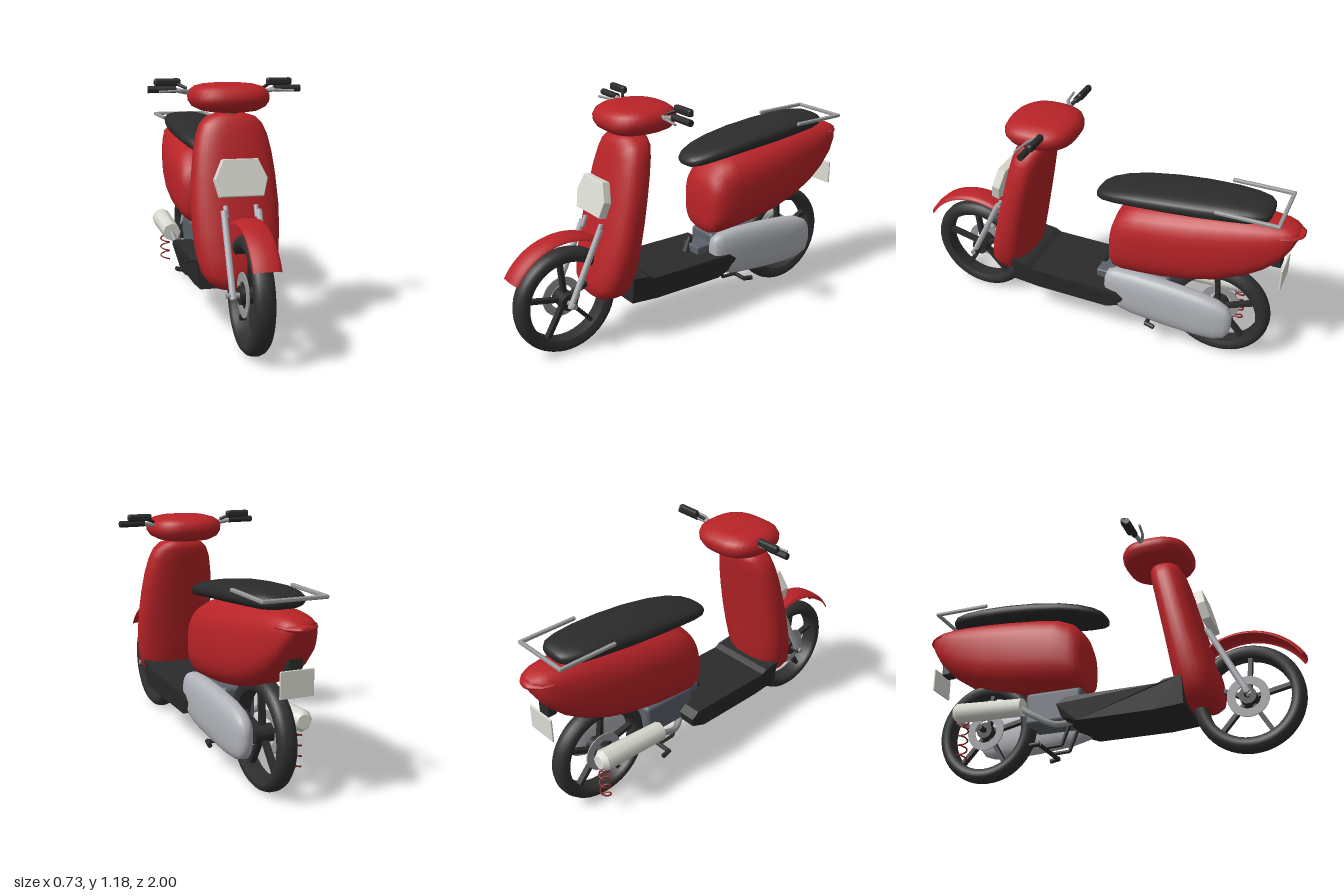
import * as THREE from 'three';
import { RoundedBoxGeometry } from 'three/addons/geometries/RoundedBoxGeometry.js';

const mat = (name, color) => new THREE.MeshStandardMaterial({ name, color, side: THREE.DoubleSide });
const V = (a) => new THREE.Vector3(...a);

// Smooth closed skin through superellipse rings; ring = { c: centre, u, v: half axes }
function loft(rings, power = 2.6, n = 32) {
  const pos = [], idx = [];
  const sp = (t) => Math.sign(t) * Math.abs(t) ** (2 / power);
  for (const { c, u, v } of rings)
    for (let i = 0; i < n; i++) {
      const a = (i / n) * Math.PI * 2, s = sp(Math.cos(a)), t = sp(Math.sin(a));
      pos.push(...c.map((k, j) => k + u[j] * s + v[j] * t));
    }
  for (let r = 0; r < rings.length - 1; r++)
    for (let i = 0; i < n; i++) {
      const a = r * n + i, b = r * n + (i + 1) % n;
      idx.push(a, b, a + n, b, b + n, a + n);
    }
  for (const r of [0, rings.length - 1]) {
    const k = pos.length / 3;
    pos.push(...rings[r].c);
    for (let i = 0; i < n; i++) {
      const a = r * n + i, b = r * n + (i + 1) % n;
      idx.push(...(r ? [k, a, b] : [k, b, a]));
    }
  }
  // turn the faces outward
  let vol = 0;
  const p = (i) => new THREE.Vector3(pos[i * 3], pos[i * 3 + 1], pos[i * 3 + 2]).sub(V(rings[0].c));
  for (let i = 0; i < idx.length; i += 3) vol += p(idx[i]).dot(p(idx[i + 1]).cross(p(idx[i + 2])));
  if (vol < 0) idx.reverse();
  const g = new THREE.BufferGeometry();
  g.setAttribute('position', new THREE.Float32BufferAttribute(pos, 3));
  g.setIndex(idx);
  g.computeVertexNormals();
  return g;
}
// rows [z, yLow, yHigh, halfWidth] along the length
const loftZ = (rows, power, x = 0) => loft(rows.map(([z, a, b, w]) =>
  ({ c: [x, (a + b) / 2, z], u: [w, 0, 0], v: [0, (b - a) / 2, 0] })), power);
// rows [y, zBack, zFront, halfWidth] going up
const loftY = (rows, power) => loft(rows.map(([y, a, b, w]) =>
  ({ c: [0, y, (a + b) / 2], u: [w, 0, 0], v: [0, 0, (b - a) / 2] })), power);

function rod(a, b, r, sides = 12, r2 = r) {
  const d = V(b).sub(V(a));
  const g = new THREE.CylinderGeometry(r2, r, d.length(), sides);
  g.applyQuaternion(new THREE.Quaternion().setFromUnitVectors(V([0, 1, 0]), d.clone().normalize()));
  const m = V(a).add(V(b)).multiplyScalar(0.5);
  return g.translate(m.x, m.y, m.z);
}
const box = (w, h, d, x, y, z, r = 0.008) => new RoundedBoxGeometry(w, h, d, 2, r).translate(x, y, z);
const lathe = (pts, seg = 48, ...arc) =>
  new THREE.LatheGeometry(pts.map((p) => new THREE.Vector2(...p)), seg, ...arc).rotateZ(Math.PI / 2);
const polygon = (pts) => new THREE.Shape(pts.map((p) => new THREE.Vector2(...p)));

export function createModel() {
  const root = new THREE.Group();
  root.name = 'scooter';
  const red = mat('red paint', 0xb82327), black = mat('black plastic', 0x2b2b2b), tyre = mat('tyre rubber', 0x303030),
    silver = mat('silver cover', 0xb0b2b8), steel = mat('steel', 0x98999b), white = mat('off white', 0xdcdcd4),
    engineGrey = mat('engine grey', 0x5b616b), springRed = mat('dark red spring', 0x8a2320);
  const add = (name, geo, material, parent = root) => {
    const m = new THREE.Mesh(geo, material);
    m.name = name;
    parent.add(m);
    return m;
  };

  // Wheels
  const half = [[0.2, 0.036], [0.222, 0.046], [0.242, 0.044], [0.257, 0.03], [0.264, 0.012]];
  const tyrePts = [...half.map(([r, x]) => [r, -x]), ...half.slice().reverse(), half[0].map((k, i) => (i ? -k : k))];
  for (const [name, z] of [['frontWheel', 0.72], ['rearWheel', -0.63]]) {
    const w = new THREE.Group();
    w.name = name;
    w.position.set(0, 0.268, z);
    root.add(w);
    add('tyre', lathe(tyrePts), tyre, w);
    add('hub', rod([-0.05, 0, 0], [0.05, 0, 0], 0.042, 24), black, w);
    add('axle', rod([-0.1, 0, 0], [0.1, 0, 0], 0.014), black, w);
    for (let i = 0; i < 5; i++)
      add('spoke', new THREE.BoxGeometry(0.03, 0.18, 0.02).translate(0, 0.115, 0)
        .rotateX(i * Math.PI * 0.4 + 0.1), black, w);
    const disc = new THREE.Shape().absarc(0, 0, 0.1, 0, Math.PI * 2);
    disc.holes.push(new THREE.Path().absarc(0, 0, 0.06, 0, Math.PI * 2));
    add('brakeDisc', new THREE.ExtrudeGeometry(disc, { depth: 0.006, bevelEnabled: false, curveSegments: 24 })
      .rotateY(Math.PI / 2).translate(-0.035, 0, 0), steel, w);
  }

  // Front fender and fork
  add('frontFender', lathe([[0.306, -0.062], [0.316, -0.058], [0.325, -0.042], [0.329, 0], [0.325, 0.042],
    [0.316, 0.058], [0.306, 0.062]], 32, 0.54, 1.75).translate(0, 0.272, 0.72), red);
  for (const s of [-1, 1]) {
    add('forkLeg', rod([s * 0.08, 0.255, 0.735], [s * 0.08, 0.61, 0.56], 0.015), silver);
    add('forkTop', rod([s * 0.07, 0.58, 0.57], [s * 0.07, 0.63, 0.548], 0.011), silver);
    add('forkFoot', rod([s * 0.05, 0.27, 0.725], [s * 0.11, 0.27, 0.725], 0.013), steel);
  }

  // Front shield, lamp panel and steering head
  add('frontShield', loftY([[0.24, 0.45, 0.55, 0.06], [0.25, 0.42, 0.58, 0.105], [0.275, 0.406, 0.6, 0.14],
    [0.32, 0.393, 0.606, 0.17], [0.4, 0.376, 0.593, 0.19], [0.5, 0.36, 0.568, 0.2], [0.62, 0.34, 0.536, 0.203],
    [0.75, 0.316, 0.503, 0.195], [0.85, 0.297, 0.479, 0.183], [0.93, 0.281, 0.457, 0.166], [0.98, 0.273, 0.441, 0.145],
    [1.01, 0.276, 0.425, 0.115], [1.025, 0.295, 0.4, 0.07]], 2.5), red);
  add('lampPanel', new THREE.ExtrudeGeometry(polygon([[-0.097, -0.08], [0.097, -0.08], [0.117, -0.005], [0.078, 0.08],
    [-0.078, 0.08], [-0.117, -0.005]]), { depth: 0.035, bevelSize: 0.004, bevelThickness: 0.004, bevelSegments: 2 })
    .rotateX(-0.23).translate(0, 0.748, 0.522), white);
  add('steeringNeck', rod([0, 0.98, 0.35], [0, 1.07, 0.33], 0.04), black);
  add('steeringHead', loftY([[1.03, 0.22, 0.4, 0.09], [1.037, 0.175, 0.443, 0.13], [1.055, 0.144, 0.472, 0.166],
    [1.08, 0.129, 0.486, 0.183], [1.105, 0.126, 0.486, 0.186], [1.13, 0.135, 0.472, 0.176], [1.147, 0.157, 0.445, 0.153],
    [1.157, 0.19, 0.41, 0.115], [1.162, 0.24, 0.36, 0.06]], 2.6), red);

  // Handlebar, mirrored
  for (const s of [-1, 1]) {
    add('handlebar', rod([s * 0.15, 1.11, 0.27], [s * 0.25, 1.13, 0.25], 0.011), steel);
    add('grip', rod([s * 0.235, 1.13, 0.25], [s * 0.365, 1.13, 0.25], 0.016), black);
    add('mirror', box(0.125, 0.036, 0.03, s * 0.27, 1.162, 0.22, 0.012), black);
    add('mirrorArm', rod([s * 0.185, 1.135, 0.25], [s * 0.225, 1.155, 0.225], 0.008), black);
    add('brakeLever', rod([s * 0.17, 1.122, 0.265], [s * 0.23, 1.125, 0.29], 0.008), steel);
    add('brakeLever', rod([s * 0.22, 1.125, 0.288], [s * 0.32, 1.122, 0.302], 0.006), steel);
  }

  // Floorboard, narrower at the bottom
  const floor = new THREE.ExtrudeGeometry(polygon([[0.445, 0.225], [0.3, 0.212], [-0.08, 0.21], [-0.16, 0.24],
    [-0.18, 0.3], [-0.14, 0.33], [0.33, 0.333], [0.36, 0.35], [0.445, 0.36]]), { depth: 0.36, bevelEnabled: false })
    .translate(0, 0, -0.18).rotateY(-Math.PI / 2);
  const fp = floor.attributes.position;
  for (let i = 0; i < fp.count; i++) if (fp.getY(i) < 0.25) fp.setX(i, fp.getX(i) * 0.9);
  floor.computeVertexNormals();
  add('floorboard', floor, black);
  add('floorKnob', rod([0, 0.32, 0.01], [0, 0.4, -0.02], 0.024, 12, 0.014), black);

  // Engine block and its side cover
  add('engineBlock', box(0.17, 0.17, 0.3, 0, 0.335, -0.24, 0.02), engineGrey);
  add('engineMount', box(0.12, 0.045, 0.12, 0.03, 0.35, -0.06), engineGrey);
  add('engineCover', loftZ([[-0.068, 0.29, 0.39, 0.025], [-0.08, 0.255, 0.42, 0.04], [-0.12, 0.215, 0.436, 0.05],
    [-0.22, 0.19, 0.441, 0.056], [-0.4, 0.172, 0.434, 0.057], [-0.56, 0.165, 0.419, 0.056], [-0.65, 0.17, 0.4, 0.05],
    [-0.7, 0.188, 0.375, 0.04], [-0.723, 0.22, 0.345, 0.025], [-0.73, 0.255, 0.31, 0.01]], 2.6, 0.122), silver);

  // Rear body, tail light and plate
  add('rearBody', loftZ([[-0.07, 0.47, 0.62, 0.08], [-0.08, 0.435, 0.68, 0.118], [-0.1, 0.415, 0.735, 0.143],
    [-0.14, 0.41, 0.78, 0.16], [-0.22, 0.417, 0.815, 0.17], [-0.35, 0.43, 0.835, 0.173], [-0.5, 0.455, 0.852, 0.166],
    [-0.63, 0.49, 0.865, 0.153], [-0.75, 0.545, 0.873, 0.136], [-0.84, 0.605, 0.875, 0.118], [-0.91, 0.675, 0.87, 0.098],
    [-0.95, 0.74, 0.858, 0.078], [-0.975, 0.8, 0.845, 0.045]], 2.7), red);
  add('tailLight', loftZ([[-0.88, 0.81, 0.84, 0.09], [-0.91, 0.803, 0.845, 0.1], [-0.96, 0.8, 0.843, 0.075],
    [-0.995, 0.806, 0.837, 0.035], [-1.0, 0.812, 0.832, 0.02]], 1.6), red);
  add('plateBracket', box(0.07, 0.09, 0.05, 0, 0.665, -0.89), black);
  add('licencePlate', box(0.16, 0.12, 0.009, 0, 0.582, -0.93, 0.003), white);

  // Seat and grab rail
  add('seat', loftZ([[0.018, 0.797, 0.822, 0.035], [0.005, 0.79, 0.838, 0.065], [-0.03, 0.792, 0.857, 0.094],
    [-0.1, 0.802, 0.88, 0.118], [-0.2, 0.815, 0.902, 0.134], [-0.35, 0.828, 0.925, 0.143], [-0.5, 0.84, 0.94, 0.143],
    [-0.65, 0.852, 0.95, 0.132], [-0.75, 0.86, 0.95, 0.118], [-0.81, 0.87, 0.943, 0.1], [-0.838, 0.88, 0.93, 0.072],
    [-0.845, 0.895, 0.918, 0.04]], 2.6), black);
  for (const s of [-1, 1]) add('grabRailSide', box(0.018, 0.018, 0.3, s * 0.147, 0.93, -0.755, 0.006), steel);
  add('grabRailBack', box(0.312, 0.018, 0.018, 0, 0.93, -0.9, 0.006), steel);

  // Exhaust on the right, with its pipe
  add('muffler', rod([-0.148, 0.32, -0.37], [-0.148, 0.335, -0.72], 0.048, 8, 0.053), white);
  add('mufflerTip', rod([-0.148, 0.335, -0.72], [-0.148, 0.336, -0.745], 0.053, 8, 0.035), white);
  add('exhaustPipe', new THREE.TubeGeometry(new THREE.CatmullRomCurve3([[-0.05, 0.25, -0.14], [-0.1, 0.23, -0.22],
    [-0.135, 0.27, -0.31], [-0.148, 0.32, -0.39]].map(V)), 20, 0.016, 10), steel);

  // Coil spring
  const coil = [];
  for (let i = 0; i <= 64; i++) {
    const a = (i / 64) * Math.PI * 2 * 4.25;
    coil.push(new THREE.Vector3(-0.13 + 0.025 * Math.cos(a), 0.087 + 0.213 * i / 64, -0.705 + 0.025 * Math.sin(a)));
  }
  add('spring', new THREE.TubeGeometry(new THREE.CatmullRomCurve3(coil), 160, 0.004, 6), springRed);

  // Centre stand
  add('standBar', rod([-0.12, 0.128, -0.29], [0.12, 0.128, -0.29], 0.011), black);
  for (const s of [-1, 1]) {
    add('standLeg', rod([s * 0.05, 0.137, -0.2], [s * 0.05, 0.133, -0.29], 0.009), black);
    add('standFoot', rod([s * 0.12, 0.13, -0.285], [s * 0.128, 0.124, -0.335], 0.012), black);
    add('standLink', rod([s * 0.05, 0.137, -0.2], [s * 0.05, 0.24, -0.16], 0.009), black);
  }
  return root;
}
